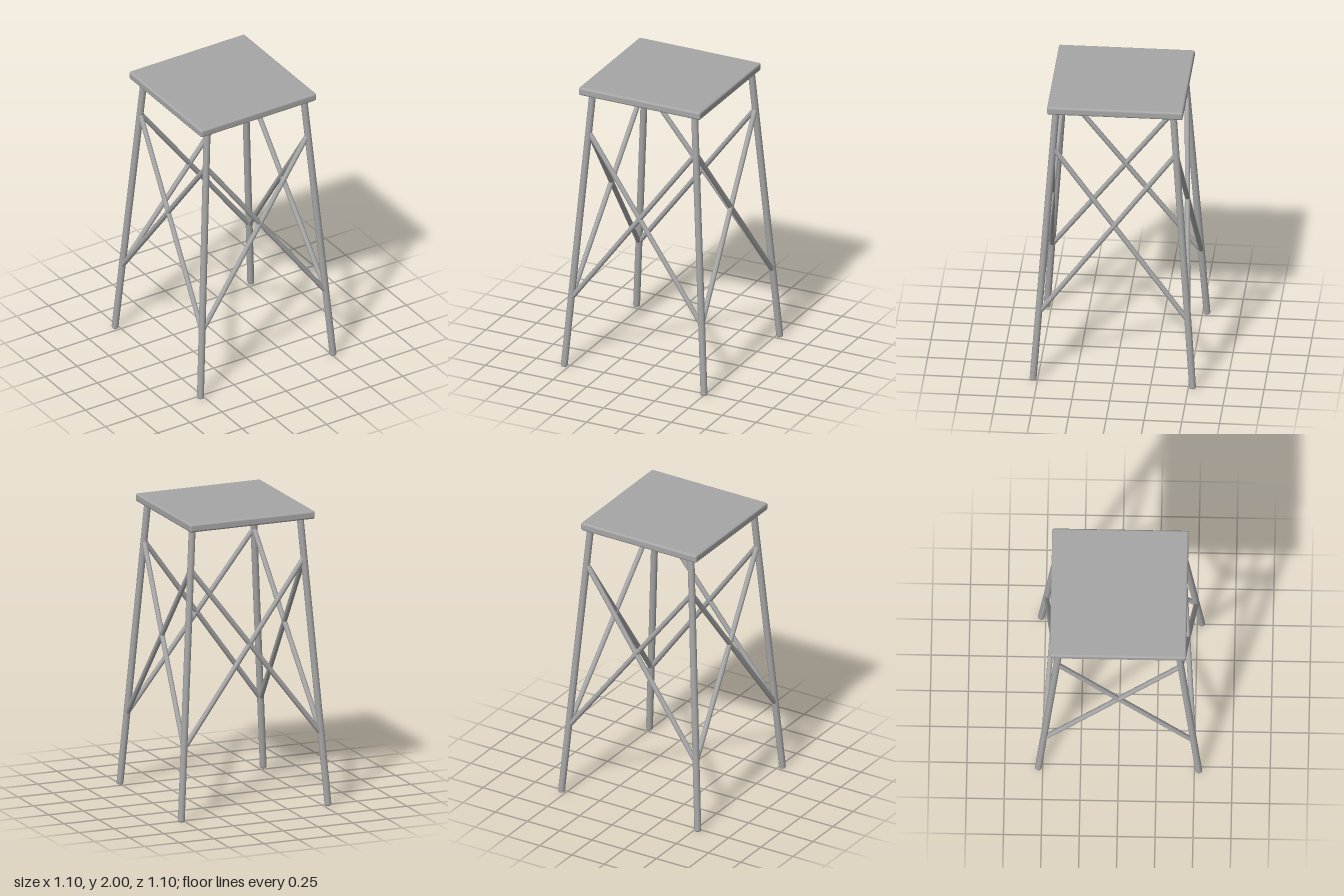
import * as THREE from 'three';
import { RoundedBoxGeometry } from 'three/addons/geometries/RoundedBoxGeometry.js';

const UP = new THREE.Vector3(0, 1, 0);

// Round bar with softly bevelled ends, running from a to b
function rod(name, a, b, radius, material) {
  const length = a.distanceTo(b);
  const bevel = radius * 0.45;
  const profile = [
    [0, 0], [radius - bevel, 0], [radius - bevel * 0.3, bevel * 0.3], [radius, bevel],
    [radius, length - bevel], [radius - bevel * 0.3, length - bevel * 0.3],
    [radius - bevel, length], [0, length],
  ].map(([x, y]) => new THREE.Vector2(x, y));
  const mesh = new THREE.Mesh(new THREE.LatheGeometry(profile, 12), material);
  mesh.name = name;
  mesh.position.copy(a);
  mesh.quaternion.setFromUnitVectors(UP, b.clone().sub(a).normalize());
  return mesh;
}

export function createModel() {
  const model = new THREE.Group();
  model.name = 'stool';
  const grey = new THREE.MeshStandardMaterial({ color: 0xa6a6a6 });
  grey.name = 'plain grey';

  // Square seat, slightly off the centre of the legs
  const seat = new THREE.Mesh(new RoundedBoxGeometry(0.9, 0.055, 0.9, 3, 0.014), grey);
  seat.name = 'seat';
  seat.position.set(-0.02, 1.9725, -0.005);
  model.add(seat);

  // Leg feet in order around the stool; each leg leans inwards as it rises
  const legs = [
    { name: 'frontRightLeg', x: -0.53, z: 0.53, sx: -1, sz: 1 },
    { name: 'frontLeftLeg', x: 0.504, z: 0.53, sx: 1, sz: 1 },
    { name: 'backLeftLeg', x: 0.529, z: -0.53, sx: 1, sz: -1 },
    { name: 'backRightLeg', x: -0.53, z: -0.53, sx: -1, sz: -1 },
  ];
  const lean = 0.072;
  const onLeg = (leg, y) =>
    new THREE.Vector3(leg.x - leg.sx * lean * y, y, leg.z - leg.sz * lean * y);

  for (const leg of legs) {
    model.add(rod(leg.name, onLeg(leg, 0.002), onLeg(leg, 1.96), 0.023, grey));
  }

  // Two crossing braces on each side
  const sides = ['front', 'left', 'back', 'right'];
  const low = 0.49, high = 1.68;
  sides.forEach((side, i) => {
    const a = legs[i], b = legs[(i + 1) % 4];
    const braces = new THREE.Group();
    braces.name = side + 'CrossBraces';
    braces.add(rod('risingBrace', onLeg(a, low), onLeg(b, high), 0.017, grey));
    braces.add(rod('fallingBrace', onLeg(a, high), onLeg(b, low), 0.017, grey));
    model.add(braces);
  });

  return model;
}
